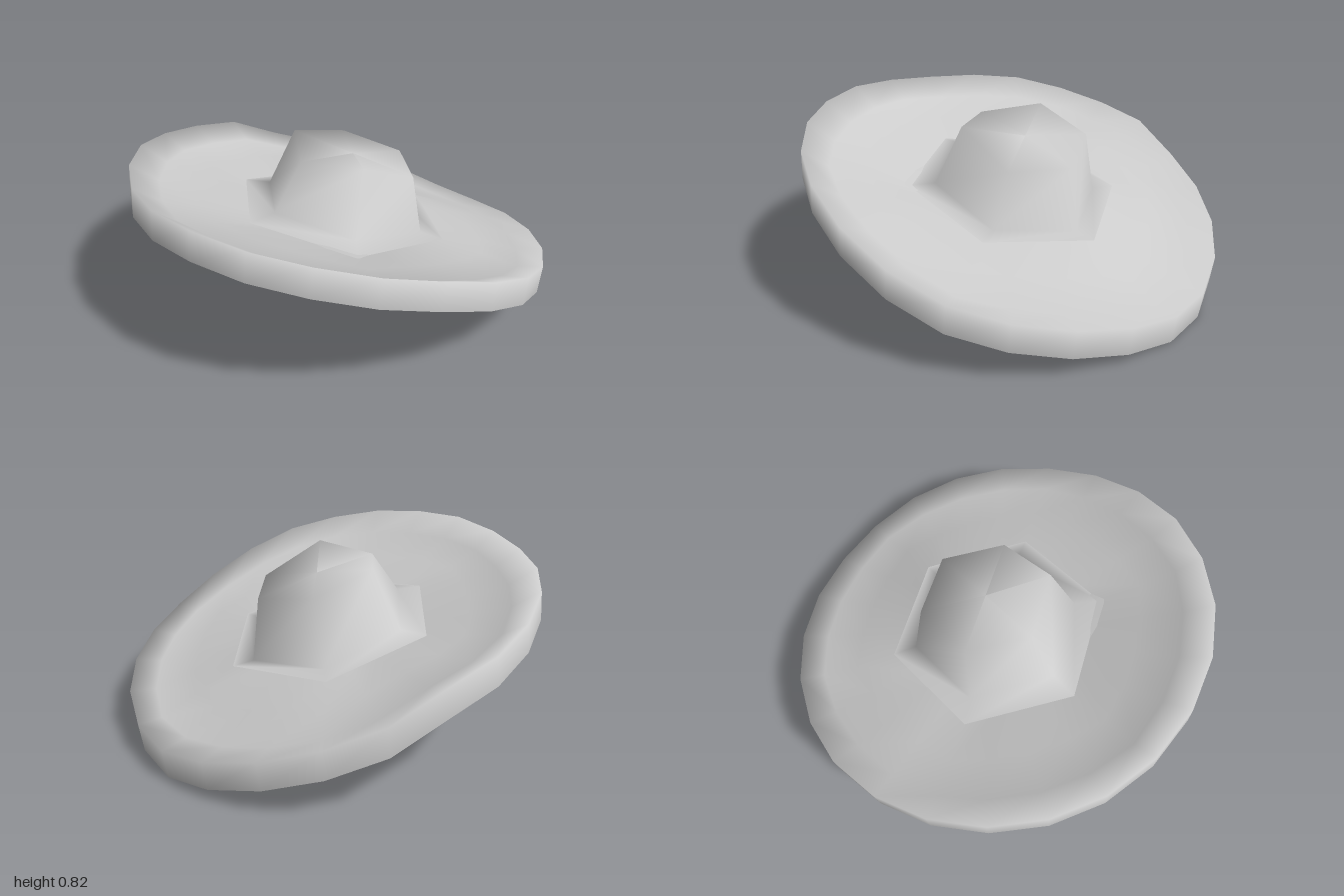
import * as THREE from 'three';

const N = 24;
const material = new THREE.MeshStandardMaterial({ color: 0xcccccc, side: THREE.DoubleSide });

// Skin a stack of closed rings (counter-clockwise from above) with smooth normals
function loft(name, rings) {
  const n = rings[0].length, index = [];
  for (let i = 0; i < rings.length - 1; i++) {
    for (let j = 0; j < n; j++) {
      const k = (j + 1) % n;
      const a = i * n + j, b = i * n + k, c = a + n, d = b + n;
      index.push(a, b, d, a, d, c);
    }
  }
  const geometry = new THREE.BufferGeometry();
  geometry.setAttribute('position', new THREE.Float32BufferAttribute(rings.flat(2), 3));
  geometry.setIndex(index);
  geometry.computeVertexNormals();
  const mesh = new THREE.Mesh(geometry, material);
  mesh.name = name;
  return mesh;
}

// Ring of n points; angle 0 is the front, height comes from a rule
function ring(n, radiusX, radiusZ, zShift, height) {
  return Array.from({ length: n }, (_, i) => {
    const t = (i / n) * Math.PI * 2;
    const x = radiusX * Math.sin(t), z = radiusZ * Math.cos(t) + zShift;
    return [x, height(i, z), z];
  });
}

const lerp = (p, q, t) => p.map((v, i) => v + (q[i] - v) * t);

// Spread a six-cornered ring over the brim's columns
function spread(hex) {
  const step = N / hex.length;
  return Array.from({ length: N }, (_, i) => {
    const k = Math.floor(i / step);
    return lerp(hex[k], hex[(k + 1) % hex.length], (i % step) / step);
  });
}

export function createModel() {
  const group = new THREE.Group();
  group.name = 'hat';

  // Height of the warped lower rim, from the front round over +x
  const rimY = [
    0.66, 0.68, 0.67, 0.645, 0.595, 0.53, 0.43, 0.32, 0.22, 0.155, 0.10, 0.05,
    0.005, 0, 0.05, 0.12, 0.20, 0.29, 0.42, 0.48, 0.54, 0.595, 0.62, 0.635,
  ];
  const bottom = ring(N, 1, 0.98, 0.008, (i) => rimY[i]);
  const wallTop = ring(N, 1, 0.982, -0.008, (i) => rimY[i] + 0.138);

  // Six-sided rings of the crown
  const foot = ring(6, 0.52, 0.52, 0, (i, z) => 0.45 + 0.22 * z);
  const base = ring(6, 0.4, 0.4, -0.015, (i, z) => 0.46 + 0.28 * z);
  const topY = [0.78, 0.80, 0.66, 0.65, 0.71, 0.80];
  const top = ring(6, 0.305, 0.305, -0.075, (i) => topY[i]);
  const peak = ring(6, 0, 0, -0.075, () => 0.73);

  // Brim: outer wall and dished upper face
  const inner = spread(foot);
  const dish = (t, drop) => inner.map((p, i) => {
    const q = lerp(p, wallTop[i], t);
    q[1] -= drop;
    return q;
  });
  group.add(loft('brim', [bottom, wallTop, dish(0.76, 0.035), dish(0.4, 0.02), inner]));

  // Underside
  const middle = ring(N, 0, 0, 0, () => 0.42);
  const half = middle.map((p, i) => lerp(p, bottom[i], 0.5));
  group.add(loft('underside', [middle, half, bottom]));

  // Crown
  group.add(loft('crown', [foot, base, top, peak]));
  return group;
}
